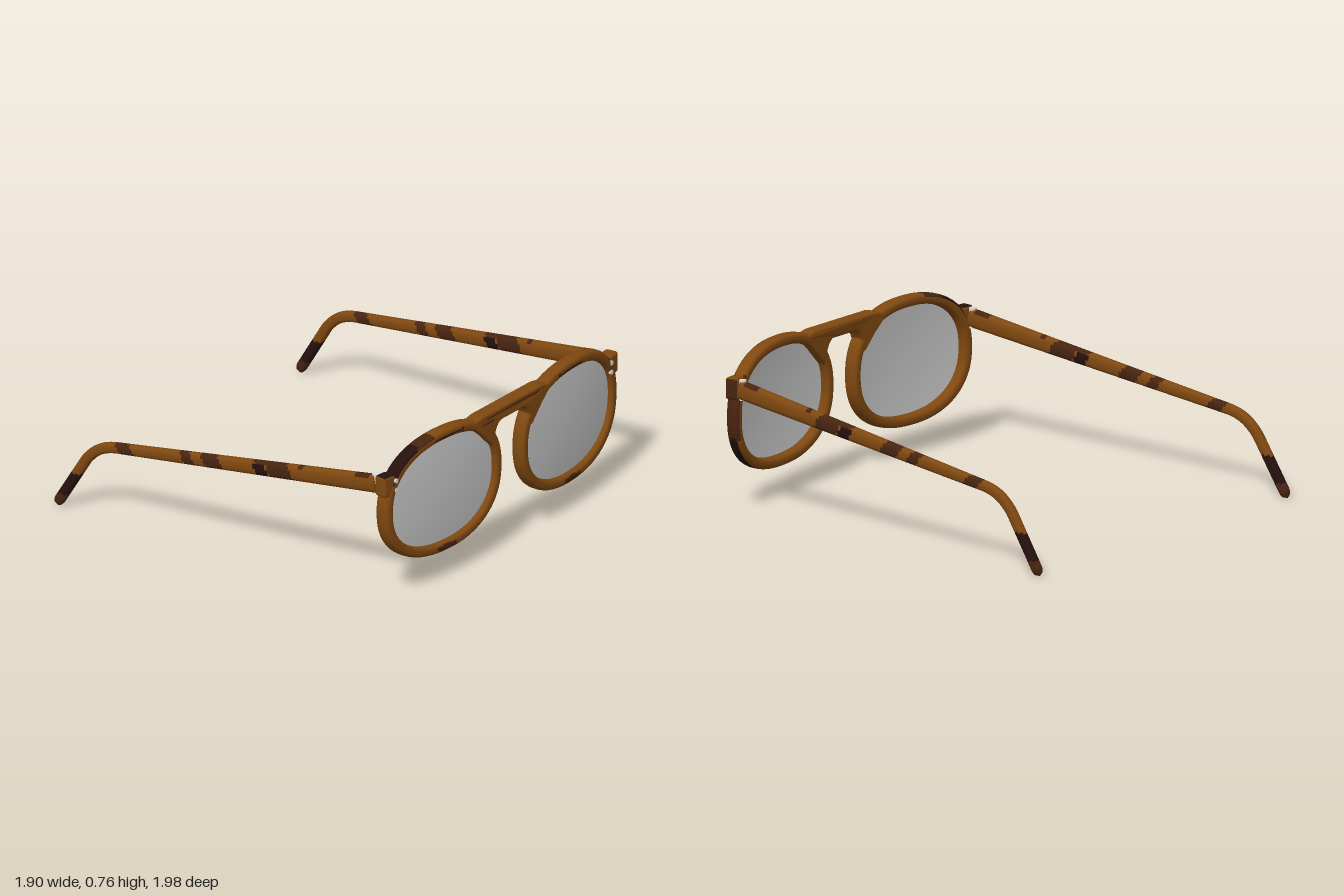
import * as THREE from 'three';
import { RoundedBoxGeometry } from 'three/addons/geometries/RoundedBoxGeometry.js';

const CX = 0.483, CY = 0.463; // lens centre
const bend = (x) => 0.953 - 0.08 * x * x; // face-form curve of the front
const sgnPow = (v, p) => Math.sign(v) * Math.abs(v) ** p;

function material(name, color, side = THREE.FrontSide) {
  const m = new THREE.MeshStandardMaterial({ color, side });
  m.name = name;
  return m;
}

function mesh(name, geometry, mat) {
  const m = new THREE.Mesh(geometry, mat);
  m.name = name;
  return m;
}

// Surface through rings of points; paint(point, v) picks a material index per quad
function loft(point, nu, nv, closed, paint) {
  const pos = [], buckets = [[], [], []];
  const rows = closed ? nu : nu + 1;
  for (let i = 0; i < rows; i++)
    for (let j = 0; j < nv; j++) pos.push(...point(i / nu, (j / nv) * Math.PI * 2));
  for (let i = 0; i < nu; i++) {
    for (let j = 0; j < nv; j++) {
      const i2 = (i + 1) % rows, j2 = (j + 1) % nv;
      const a = i * nv + j, b = i2 * nv + j, c = i2 * nv + j2, d = i * nv + j2;
      const v = ((j + 0.5) / nv) * Math.PI * 2;
      buckets[paint(point((i + 0.5) / nu, v), v)].push(a, b, c, a, c, d);
    }
  }
  const g = new THREE.BufferGeometry();
  g.setAttribute('position', new THREE.Float32BufferAttribute(pos, 3));
  g.setIndex(buckets.flat());
  let start = 0;
  buckets.forEach((b, k) => {
    if (b.length) g.addGroup(start, b.length, k);
    start += b.length;
  });
  g.computeVertexNormals();
  return g;
}

// Rounded oval used by rims and lenses
function oval(t, rx, ry) {
  const p = 2 / 2.3;
  return [rx * sgnPow(Math.cos(t), p), ry * sgnPow(Math.sin(t), p)];
}

function rimGeometry(s) {
  const point = (u, v) => {
    const off = 0.026 * sgnPow(Math.cos(v), 0.7);
    const [ox, oy] = oval(u * Math.PI * 2, 0.381 + off, 0.2865 + off);
    const x = s * CX + ox;
    return [x, CY + oy, bend(x) + 0.037 * sgnPow(Math.sin(v), 0.7)];
  };
  // mottled patches: dark outer edges and thin streaks on the front
  const paint = ([x, y], v) => {
    const outer = Math.cos(v) > 0.3, front = Math.sin(v) > 0.9;
    if (s < 0 && outer && x < -0.68 && y > 0.6) return 2;
    if (s < 0 && outer && x < -0.57 && y > 0.6) return 1;
    if (s > 0 && outer && Math.sin(v) > -0.4 && x > 0.7 && y > 0.18 && y < 0.36) return 2;
    if (s > 0 && outer && x > 0.7 && y >= 0.36 && y < 0.66) return 1;
    if (front && y > 0.735 && y < 0.75 && Math.abs(x - s * 0.46) < 0.1) return 1;
    if (front && y < 0.19 && Math.abs(x - s * 0.48) < 0.06) return 1;
    return 0;
  };
  return loft(point, 144, 24, true, paint);
}

function lensGeometry(s) {
  const pos = [], idx = [], rings = 10, n = 72;
  for (let r = 0; r <= rings; r++) {
    for (let j = 0; j < n; j++) {
      const k = r / rings;
      const [ox, oy] = oval((j / n) * Math.PI * 2, 0.362 * k, 0.267 * k);
      const x = s * CX + ox;
      pos.push(x, CY + oy, bend(x) + 0.008 + 0.012 * (1 - k * k));
      if (r === rings) continue;
      const a = r * n + j, b = r * n + ((j + 1) % n);
      idx.push(a, a + n, b + n);
      if (r) idx.push(a, b + n, b);
    }
  }
  const g = new THREE.BufferGeometry();
  g.setAttribute('position', new THREE.Float32BufferAttribute(pos, 3));
  g.setIndex(idx);
  g.computeVertexNormals();
  return g;
}

function bridgeGeometry() {
  const b = 0.012;
  const s = new THREE.Shape();
  s.moveTo(-0.225, 0.75 - b);
  s.lineTo(-0.3, 0.725);
  s.lineTo(-0.22, 0.66);
  s.lineTo(-0.155, 0.59);
  s.quadraticCurveTo(-0.13, 0.685 + b, -0.08, 0.685 + b);
  s.lineTo(0.08, 0.685 + b);
  s.quadraticCurveTo(0.13, 0.685 + b, 0.155, 0.59);
  s.lineTo(0.22, 0.66);
  s.lineTo(0.3, 0.725);
  s.lineTo(0.225, 0.75 - b);
  const g = new THREE.ExtrudeGeometry(s, {
    depth: 0.074 - 2 * b, bevelSize: b, bevelThickness: b, bevelSegments: 4, curveSegments: 10,
  });
  g.translate(0, 0, -0.037 + b);
  const p = g.attributes.position;
  for (let i = 0; i < p.count; i++) p.setZ(i, p.getZ(i) + bend(p.getX(i)));
  g.computeVertexNormals();
  return g;
}

// Temple arm: tapered oval section along a path with an ear bend
function templeGeometry(s) {
  const path = new THREE.CurvePath();
  const P = (y, z) => new THREE.Vector3(0, y, z);
  path.add(new THREE.LineCurve3(P(0.605, 0.85), P(0.394, -0.62)));
  path.add(new THREE.CubicBezierCurve3(P(0.394, -0.62), P(0.382, -0.72), P(0.345, -0.765), P(0.29, -0.81)));
  path.add(new THREE.LineCurve3(P(0.29, -0.81), P(0.012, -0.982)));
  const N = 150;
  const point = (u, v) => {
    // first ring closes the front end, the last ones round off the tip
    const t = Math.max(0, (u * N - 2) / (N - 2));
    const k = u < 0.5 / N ? 0 : u < 1.6 / N ? 0.93 : Math.sqrt(Math.max(0, 1 - Math.max(0, (t - 0.98) / 0.02) ** 2));
    const c = path.getPointAt(t), d = path.getTangentAt(t);
    const w = k * THREE.MathUtils.lerp(0.028, 0.021, t);
    const h = k * THREE.MathUtils.lerp(0.045, 0.026, Math.min(1, t * 1.35));
    const a = w * sgnPow(Math.cos(v), 0.75), b = h * sgnPow(Math.sin(v), 0.75);
    const x = s * THREE.MathUtils.lerp(0.867, 0.932, (0.85 - c.z) / 1.83);
    return [x + a, c.y - d.z * b, c.z + d.y * b];
  };
  // [zMin, zMax, shade, where]: bands, or patches on the top or the sides
  const patches = [
    [0.76, 0.84, 1, 'top'], [0.43, 0.46, 1, 'top'], [0.24, 0.37, 1, 'all'], [0.16, 0.23, 2, 'side'],
    [0.18, 0.24, 1, 'top'], [-0.13, -0.03, 1, 'all'], [-0.25, -0.19, 1, 'all'], [-0.62, -0.54, 1, 'all'],
  ];
  const paint = ([, y, z], v) => {
    if (z < -0.8) return y < 0.08 ? 1 : y < 0.205 ? 2 : 0;
    const top = Math.sin(v) > 0.5;
    const skew = z + 0.025 * Math.sin(v);
    const hit = patches.find(([lo, hi, , where]) =>
      skew > lo && skew < hi && (where === 'all' || (where === 'top') === top));
    return hit ? hit[2] : 0;
  };
  return loft(point, N, 20, false, paint);
}

export function createModel() {
  const brown = material('amber brown', 0x7f4810);
  const mid = material('dark brown', 0x482410);
  const dark = material('blackish brown', 0x26100e);
  const metal = material('silver metal', 0xdcdcdc);
  const glass = material('grey lens', 0xc6c6c6, THREE.DoubleSide);
  const shell = [brown, mid, dark];

  const model = new THREE.Group();
  model.name = 'glasses';
  model.add(mesh('bridge', bridgeGeometry(), brown));

  for (const s of [1, -1]) {
    const side = s > 0 ? 'left' : 'right';
    model.add(mesh(side + 'Rim', rimGeometry(s), shell));
    model.add(mesh(side + 'Lens', lensGeometry(s), glass));
    model.add(mesh(side + 'Temple', templeGeometry(s), shell));

    // end piece joining rim and hinge
    const faces = s > 0 ? [mid, brown, brown, brown, brown, brown] : [brown, brown, dark, brown, brown, brown];
    const end = mesh(side + 'EndPiece', new RoundedBoxGeometry(0.072, 0.105, 0.068, 4, 0.014), faces);
    end.position.set(s * 0.861, 0.607, 0.893);
    end.rotation.y = s * 0.13;
    model.add(end);

    // hinge barrel
    const hinge = mesh(side + 'Hinge', new THREE.CylinderGeometry(0.017, 0.017, 0.098, 20), metal);
    hinge.position.set(s * 0.865, 0.605, 0.842);
    model.add(hinge);

    // two rivets on the front
    for (const y of [0.627, 0.58]) {
      const rivet = mesh(side + 'Rivet', new THREE.CylinderGeometry(0.012, 0.012, 0.012, 12), metal);
      rivet.rotation.x = Math.PI / 2;
      rivet.position.set(s * 0.828, y, 0.932);
      model.add(rivet);
    }
  }

  // dark streaks along the bridge
  for (const [x, y, w] of [[0, 0.728, 0.4], [-0.19, 0.707, 0.08]]) {
    const streak = mesh('bridgeStreak', new THREE.BoxGeometry(w, 0.006, 0.008), mid);
    streak.position.set(x, y, bend(w / 2) + 0.035);
    model.add(streak);
  }
  return model;
}
